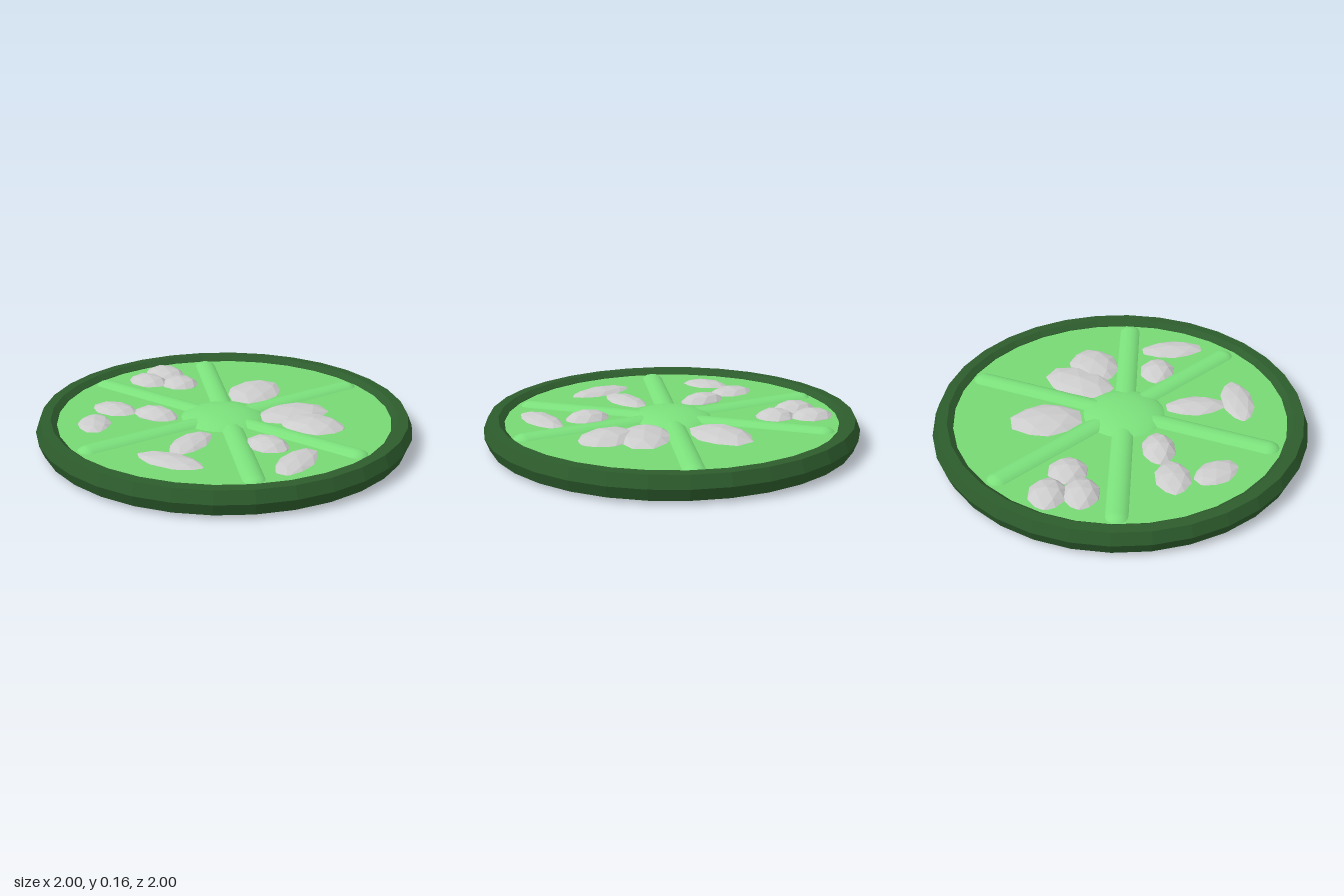
import * as THREE from 'three';

const MID = 0.082; // height of the slice's middle plane
const DISC_HALF = 0.037; // half the thickness of the flesh

const material = (color, flatShading = false) =>
  new THREE.MeshStandardMaterial({ color, flatShading });

const rindMat = material(0x2d5c2d, true);
const fleshMat = material(0x77d873);
const ribMat = material(0x7be07b);
const pulpMat = material(0x77d873, true);
const seedMat = material(0xcccccc, true);

function addMesh(parent, name, geometry, mat) {
  const mesh = new THREE.Mesh(geometry, mat);
  mesh.name = name;
  parent.add(mesh);
  return mesh;
}

// Faces of a faceted ball lying above (sign 1) or below (sign -1) its middle
function halfBall(sign) {
  const p = new THREE.IcosahedronGeometry(1, 1).attributes.position.array;
  const kept = [];
  for (let i = 0; i < p.length; i += 9) {
    const y = p[i + 1] + p[i + 4] + p[i + 7];
    if (sign > 0 ? y >= 0 : y < 0) kept.push(...p.slice(i, i + 9));
  }
  const g = new THREE.BufferGeometry();
  g.setAttribute('position', new THREE.Float32BufferAttribute(kept, 3));
  g.computeVertexNormals();
  return g;
}

export function createModel() {
  const group = new THREE.Group();
  group.name = 'citrusSlice';
  const slice = new THREE.Group();
  slice.name = 'slice';
  slice.position.y = MID;
  group.add(slice);

  // Rind: eight-sided ring section, closed
  const upper = [[0.89, 0.04], [0.92, 0.065], [0.975, 0.063]];
  const profile = [
    [1, 0],
    ...[...upper].reverse(),
    [0.88, 0],
    ...upper.map(([r, y]) => [r, -y]),
    [1, 0],
  ].map(([r, y]) => new THREE.Vector2(r, y));
  addMesh(slice, 'rind', new THREE.LatheGeometry(profile, 32), rindMat);

  // Flesh disc
  addMesh(slice, 'flesh', new THREE.CylinderGeometry(0.9, 0.9, 2 * DISC_HALF, 32), fleshMat);

  // Hub: flattened ball in the centre
  const hub = addMesh(slice, 'hub', new THREE.SphereGeometry(1, 32, 20), ribMat);
  hub.scale.set(0.245, 0.08, 0.245);
  hub.position.x = -0.02;

  // Ribs: three flattened rods crossing the whole slice, end to end
  const ribs = [
    [-0.02, -0.9, -0.02, 0.9],
    [0.63, -0.63, -0.61, 0.64],
    [0.84, 0.31, -0.84, -0.29],
  ];
  for (const [x1, z1, x2, z2] of ribs) {
    const r = 0.073;
    const length = Math.hypot(x2 - x1, z2 - z1);
    const g = new THREE.CapsuleGeometry(r, length - 2 * r, 6, 16)
      .rotateZ(Math.PI / 2)
      .scale(1, 0.83, 1)
      .rotateY(-Math.atan2(z2 - z1, x2 - x1));
    addMesh(slice, 'rib', g, ribMat).position.set((x1 + x2) / 2, 0, (z1 + z2) / 2);
  }

  // Seeds: x, z, half width and half depth at the flesh, turn, half height
  const seeds = [
    [0.16, -0.67, 0.095, 0.125, 0, 0.08],
    [0.325, -0.68, 0.1, 0.125, 0, 0.08],
    [0.24, -0.5, 0.105, 0.11, 0, 0.08],
    [0.39, -0.08, 0.2, 0.145, 0.2, 0.075],
    [0.24, 0.28, 0.205, 0.145, -0.5, 0.075],
    [0.17, 0.45, 0.14, 0.175, 0.3, 0.08],
    [-0.19, 0.41, 0.1, 0.125, 0, 0.082],
    [-0.27, 0.64, 0.185, 0.09, 0.15, 0.065],
    [-0.63, 0.14, 0.09, 0.19, 0.15, 0.065],
    [-0.4, 0.085, 0.17, 0.09, 0.15, 0.065],
    [-0.5, -0.48, 0.135, 0.09, 0.7, 0.065],
    [-0.285, -0.53, 0.095, 0.135, 0.1, 0.07],
    [-0.21, -0.3, 0.09, 0.135, 0.1, 0.082],
  ];
  const top = halfBall(1);
  const bottom = halfBall(-1);
  for (const [x, z, a, b, turn, h] of seeds) {
    // widen so that the part standing out of the flesh has the given size
    const k = 1 / Math.sqrt(1 - (DISC_HALF / h) ** 2);
    const seed = new THREE.Group();
    seed.name = 'seed';
    addMesh(seed, 'seedTop', top, seedMat);
    addMesh(seed, 'seedUnderside', bottom, pulpMat);
    seed.position.set(x, 0, z);
    seed.rotation.y = turn;
    seed.scale.set(a * k, h, b * k);
    slice.add(seed);
  }
  return group;
}
